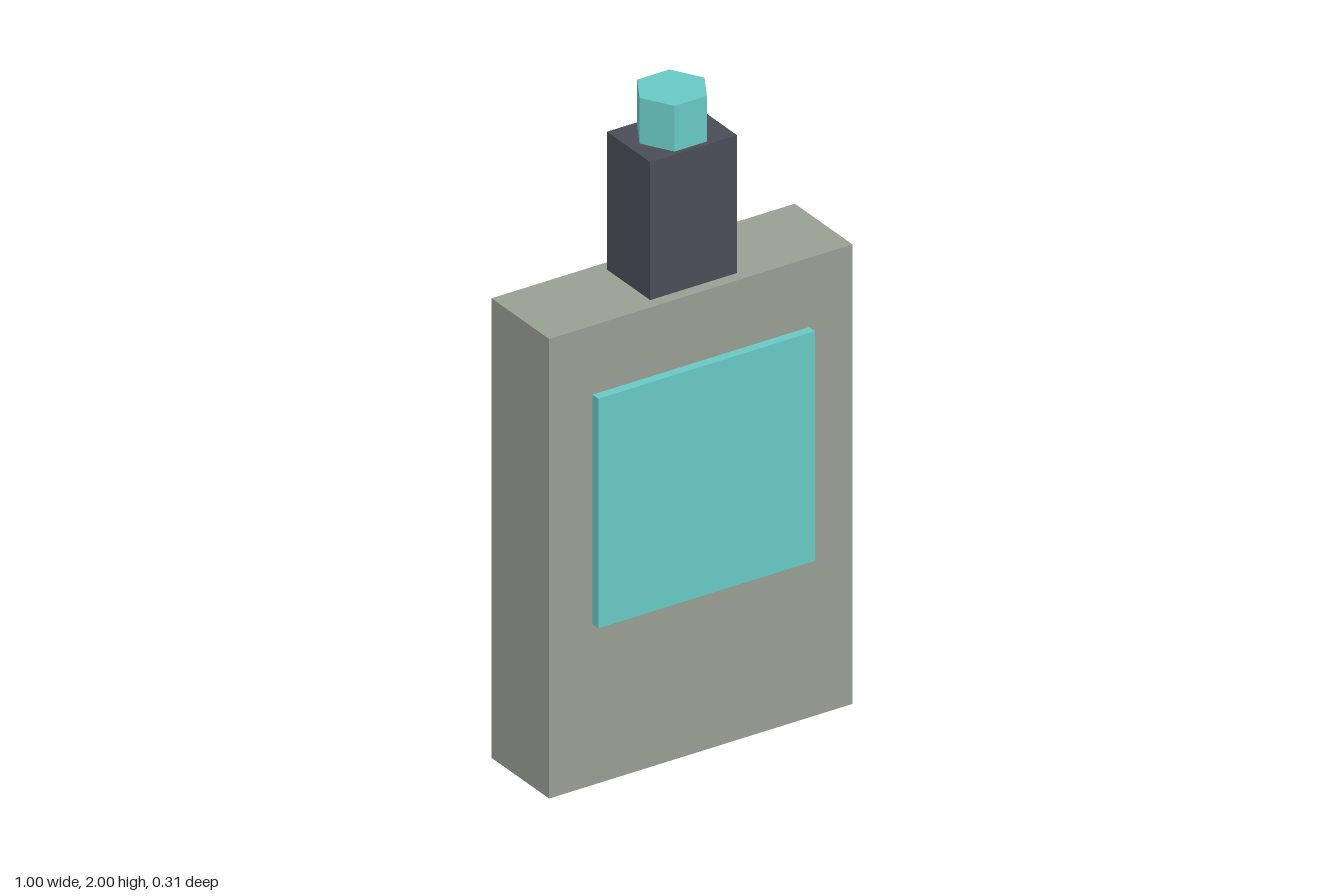
import * as THREE from 'three';

export function createModel() {
  const model = new THREE.Group();
  model.name = 'bottle';

  const material = (name, color) => {
    const m = new THREE.MeshStandardMaterial({ color });
    m.name = name;
    return m;
  };
  const sage = material('sage grey', 0x989f92);
  const charcoal = material('charcoal', 0x4a4d57);
  const teal = material('teal', 0x68c9c4);

  const midZ = -0.0145; // shared axis of body, neck and cap

  // Adds a part standing on the given height
  const add = (name, geometry, mat, bottom, height, z = midZ) => {
    const mesh = new THREE.Mesh(geometry, mat);
    mesh.name = name;
    mesh.position.set(0, bottom + height / 2, z);
    model.add(mesh);
  };

  // Flat slab body with a raised square panel on the front
  add('body', new THREE.BoxGeometry(1, 1.429, 0.286), sage, 0, 1.429);
  add('frontPanel', new THREE.BoxGeometry(0.714, 0.714, 0.029), teal, 0.5, 0.714, 0.143);

  // Square neck and hexagonal cap with corners pointing to the sides
  add('neck', new THREE.BoxGeometry(0.286, 0.429, 0.214), charcoal, 1.429, 0.429);
  const cap = new THREE.CylinderGeometry(0.107, 0.107, 0.142, 6, 1, false, Math.PI / 2).toNonIndexed();
  cap.computeVertexNormals();
  add('cap', cap, teal, 1.858, 0.142);

  return model;
}
